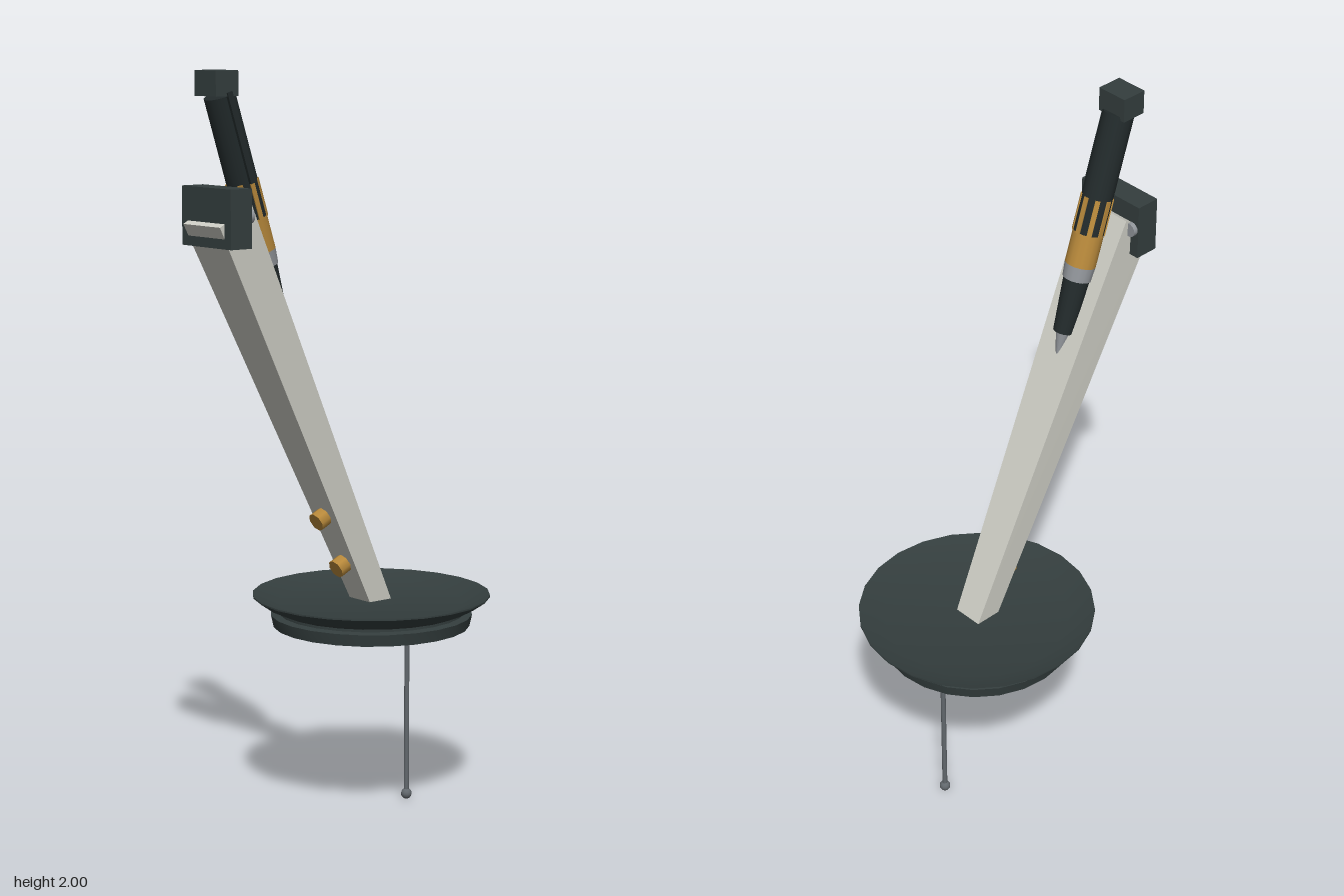
import * as THREE from 'three';
import { toCreasedNormals } from 'three/addons/utils/BufferGeometryUtils.js';

const mat = (name, color) => {
  const m = new THREE.MeshStandardMaterial({ color });
  m.name = name;
  return m;
};

export function createModel() {
  const model = new THREE.Group();
  const charcoal = mat('charcoal', 0x343e3e);
  const black = mat('black', 0x222a2b);
  const ivory = mat('ivory', 0xcfcfc6);
  const gold = mat('gold', 0xb8893b);
  const silver = mat('silver', 0x92969b);
  const steel = mat('steel', 0x62686d);

  const add = (parent, name, geometry, material, x = 0, y = 0, z = 0) => {
    const mesh = new THREE.Mesh(geometry, material);
    mesh.name = name;
    mesh.position.set(x, y, z);
    parent.add(mesh);
    return mesh;
  };
  const lathe = (pts, sides) => toCreasedNormals(
    new THREE.LatheGeometry(pts.map(([r, y]) => new THREE.Vector2(r, y)), sides), 0.5);

  // Round dish: foot disc, neck, flared rim and shallow floor
  add(model, 'dish', lathe([
    [0, 0.513], [0.265, 0.513], [0.272, 0.545], [0.25, 0.548], [0.25, 0.555],
    [0.285, 0.57], [0.32, 0.594], [0.32, 0.598], [0.25, 0.575], [0, 0.58],
  ], 24), charcoal, 0.117);

  // Rod hanging below the dish, with a ball at its end
  add(model, 'rod', new THREE.CylinderGeometry(0.007, 0.007, 0.5, 10), steel, 0.245, 0.265);
  add(model, 'rodBall', new THREE.SphereGeometry(0.015, 12, 8), steel, 0.245, 0.015);

  // Leaning arm: a box with its corners moved, wider at the top
  const armGeo = new THREE.BoxGeometry(2, 2, 2);
  const p = armGeo.attributes.position;
  for (let i = 0; i < p.count; i++) {
    const right = p.getX(i) < 0, top = p.getY(i) > 0, side = p.getZ(i);
    if (top) p.setXYZ(i, right ? -0.44 : -0.34, right ? 1.615 : 1.668, side * 0.077);
    else p.setXYZ(i, right ? 0.077 : 0.151, 0.585, side * 0.042);
  }
  armGeo.computeVertexNormals();
  add(model, 'arm', armGeo, ivory);

  // Crossbar block at the arm's top, with a screw on each side
  add(model, 'crossbar', new THREE.BoxGeometry(0.066, 0.15, 0.204), charcoal, -0.392, 1.635, 0);
  for (const s of [-1, 1]) {
    add(model, 'screw', new THREE.CylinderGeometry(0.019, 0.019, 0.02, 14), silver, -0.357, 1.64, s * 0.081)
      .rotation.z = Math.PI / 2;
  }

  // Two knobs on the arm's lower side
  for (const [x, y] of [[-0.055, 0.823], [0.012, 0.688]]) {
    add(model, 'knob', new THREE.CylinderGeometry(0.026, 0.026, 0.04, 8), gold, x, y, 0)
      .rotation.z = Math.PI / 2 + 0.46;
  }

  // Slanted probe, built upward from its tip
  const probe = new THREE.Group();
  probe.name = 'probe';
  probe.position.set(-0.172, 1.28, 0);
  probe.rotation.z = Math.atan2(0.213, 0.67);
  model.add(probe);
  const turned = (name, r0, r1, y0, y1, material) => add(probe, name,
    new THREE.CylinderGeometry(r1, r0, y1 - y0, 16), material, 0, (y0 + y1) / 2);
  turned('probeTip', 0.001, 0.02, 0, 0.083, silver);
  turned('probeNose', 0.027, 0.035, 0.083, 0.235, black);
  turned('probeRing', 0.038, 0.041, 0.235, 0.275, silver);
  turned('probeSleeve', 0.041, 0.041, 0.275, 0.365, gold);
  turned('probeBody', 0.041, 0.041, 0.365, 0.69, black);

  // Gold fingers rising from the sleeve
  for (let i = 0; i < 8; i++) {
    const a = i * Math.PI / 4;
    add(probe, 'sleeveFinger', new THREE.BoxGeometry(0.007, 0.1, 0.013), gold,
      Math.cos(a) * 0.0395, 0.413, -Math.sin(a) * 0.0395).rotation.y = a;
  }
  // Clip strip along the probe's front
  add(probe, 'clip', new THREE.BoxGeometry(0.016, 0.24, 0.01), black, 0, 0.58, 0.043);

  // Square cap on the probe's top
  add(model, 'probeCap', new THREE.BoxGeometry(0.07, 0.064, 0.088), charcoal, -0.39, 1.968, 0);

  return model;
}
